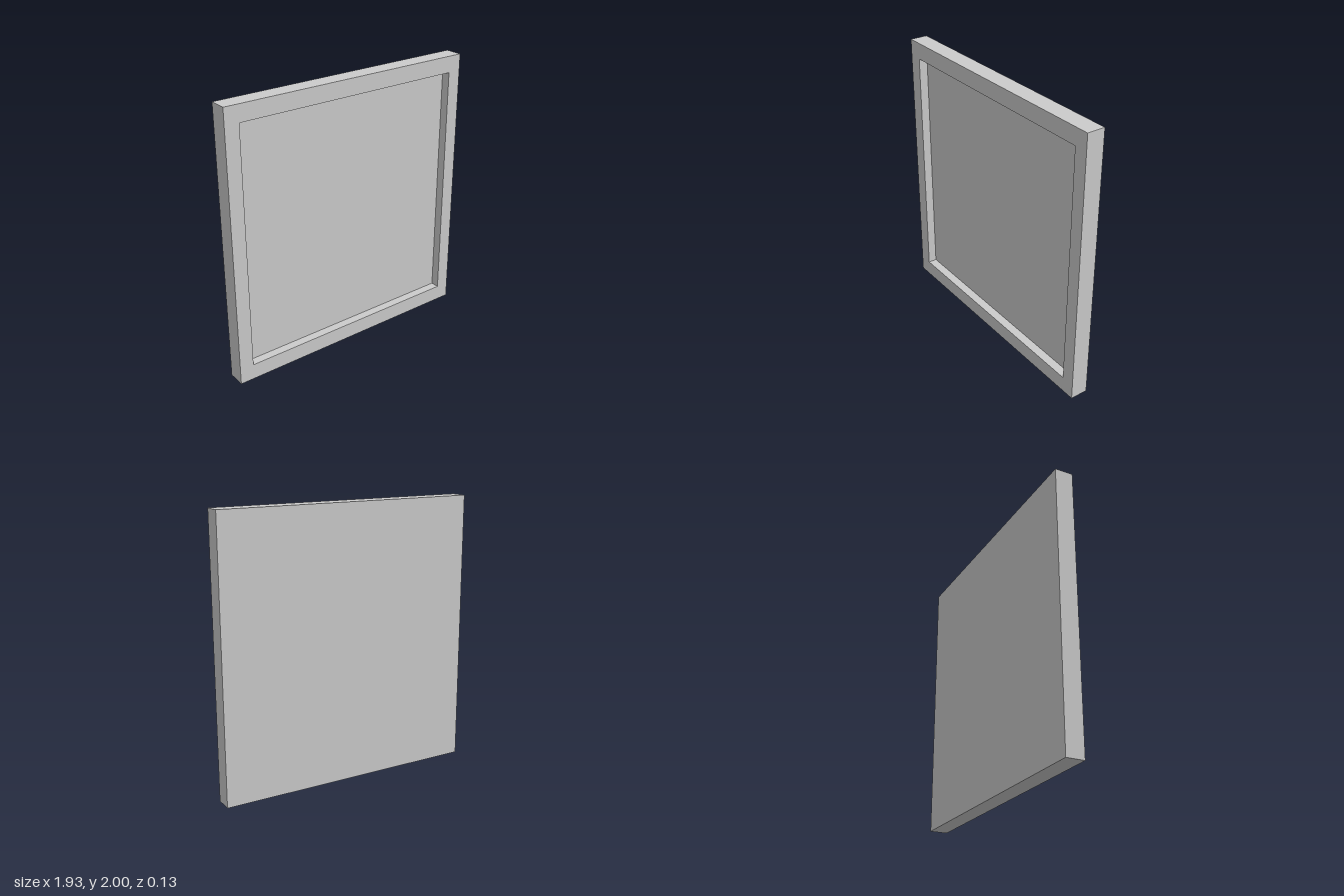
import * as THREE from 'three';

const W = 1.934, H = 2, D = 0.13;                              // overall size
const LEFT = -0.863, RIGHT = 0.867, BOTTOM = 0.115, TOP = 1.88; // opening
const RECESS = 0.065;                                          // depth of the recess

// Closed rectangular outline
function rect(Type, x0, y0, x1, y1) {
  const path = new Type();
  path.moveTo(x0, y0).lineTo(x1, y0).lineTo(x1, y1).lineTo(x0, y1).closePath();
  return path;
}

export function createModel() {
  const group = new THREE.Group();
  group.name = 'framedPanel';
  const material = new THREE.MeshStandardMaterial({ color: 0xcccccc, flatShading: true });

  // Border with a rectangular opening
  const outline = rect(THREE.Shape, -W / 2, 0, W / 2, H);
  outline.holes.push(rect(THREE.Path, LEFT, BOTTOM, RIGHT, TOP));
  const frame = new THREE.Mesh(
    new THREE.ExtrudeGeometry(outline, { depth: D, bevelEnabled: false }), material);
  frame.position.z = -D / 2;
  frame.name = 'frame';

  // Panel filling the opening, flush with the back and recessed at the front
  const depth = D - RECESS;
  const panel = new THREE.Mesh(
    new THREE.BoxGeometry(RIGHT - LEFT, TOP - BOTTOM, depth), material);
  panel.position.set((LEFT + RIGHT) / 2, (BOTTOM + TOP) / 2, -D / 2 + depth / 2);
  panel.name = 'recessedPanel';

  group.add(frame, panel);
  return group;
}
